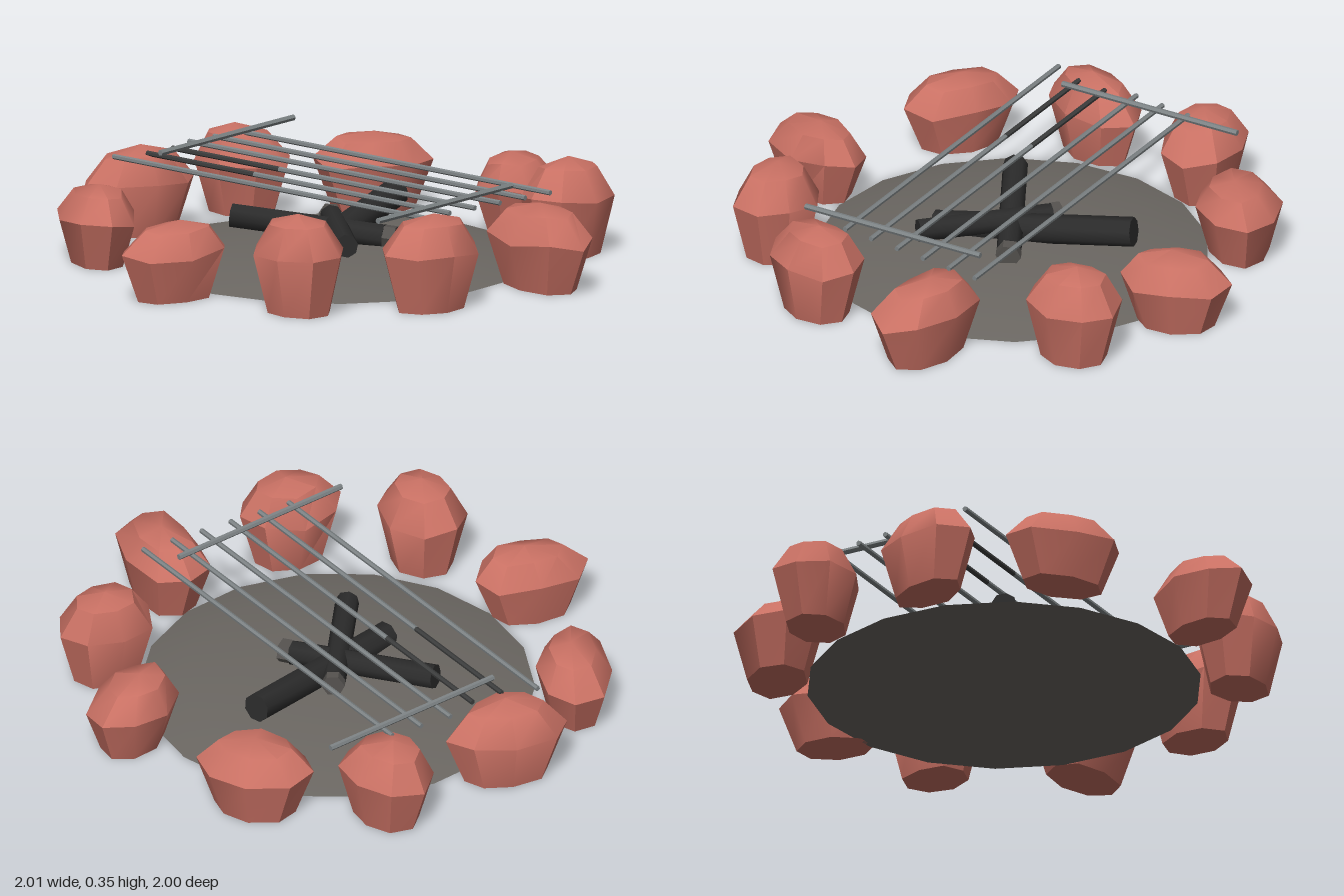
import * as THREE from 'three';
import { toCreasedNormals } from 'three/addons/utils/BufferGeometryUtils.js';

const material = (name, color, extra = {}) => {
  const m = new THREE.MeshStandardMaterial({ color, ...extra });
  m.name = name;
  return m;
};

function seeded(seed) {
  let s = seed * 7919 + 13;
  return () => (s = (s * 16807) % 2147483647) / 2147483647;
}

// Boulder: a flat base flaring to a rim, then rounding over to a blunt peak
function stoneGeometry(length, width, height, seed) {
  const random = seeded(seed);
  for (let i = 0; i < 5; i++) random();
  const sides = 8;
  const radii = Array.from({ length: sides }, () => 0.94 + random() * 0.12);
  const lift = radii.map(() => (random() - 0.5) * 0.03);
  const tilt = [(random() - 0.5) * 0.25, (random() - 0.5) * 0.25];
  const rings = [[0.69, 0, 0], [1, 0.6, 1], [0.62, 0.9, 0.5]];
  const positions = [], index = [];
  for (const [scale, y, wobble] of rings) {
    for (let j = 0; j < sides; j++) {
      const a = (j / sides) * Math.PI * 2;
      const r = scale * radii[j];
      const shift = wobble === 0.5 ? 0.6 : 0;
      positions.push(
        length * (Math.cos(a) * r + tilt[0] * shift),
        height * y + lift[j] * wobble,
        width * (Math.sin(a) * r + tilt[1] * shift));
    }
  }
  const peak = positions.length / 3;
  positions.push(length * tilt[0], height, width * tilt[1], 0, 0, 0);
  for (let j = 0; j < sides; j++) {
    const k = (j + 1) % sides;
    for (let i = 0; i < rings.length - 1; i++) {
      const a = i * sides + j, b = i * sides + k;
      index.push(a, a + sides, b, b, a + sides, b + sides);
    }
    const top = (rings.length - 1) * sides;
    index.push(top + j, peak, top + k, peak + 1, j, k);
  }
  const g = new THREE.BufferGeometry();
  g.setAttribute('position', new THREE.Float32BufferAttribute(positions, 3));
  g.setIndex(index);
  return toCreasedNormals(g, 0.7);
}

// Straight rod between two points
function rod(name, from, to, radius, sides, mat) {
  const a = new THREE.Vector3(...from), b = new THREE.Vector3(...to);
  const direction = b.clone().sub(a);
  const g = new THREE.CylinderGeometry(radius, radius, direction.length(), sides);
  const mesh = new THREE.Mesh(toCreasedNormals(g, 0.9), mat);
  mesh.name = name;
  mesh.position.copy(a).add(b).multiplyScalar(0.5);
  mesh.quaternion.setFromUnitVectors(new THREE.Vector3(0, 1, 0), direction.normalize());
  return mesh;
}

export function createModel() {
  const model = new THREE.Group();
  model.name = 'campfire';
  const stone = material('red stone', 0xc87063);
  const ash = material('ash', 0x6b6762);
  const charcoal = material('charred wood', 0x2b2b2b);
  const ember = material('ashen log end', 0x55524f);
  const metal = material('grill metal', 0x7d8385);
  const soot = material('sooty metal', 0x3c3d3d);

  // Low mound of ash
  const mound = [[0, 0], [0.7, 0], [0.55, 0.035], [0.3, 0.057], [0, 0.065]]
    .map(([x, y]) => new THREE.Vector2(x, y));
  const ashBed = new THREE.Mesh(toCreasedNormals(new THREE.LatheGeometry(mound, 18), 0.6), ash);
  ashBed.name = 'ashBed';
  ashBed.position.set(0.03, 0, -0.04);
  model.add(ashBed);

  // Ring of stones: x, z, half length, half width, heading, height
  const ring = new THREE.Group();
  ring.name = 'stoneRing';
  [
    [-0.22, -0.81, 0.215, 0.135, 0.2, 0.32],
    [0.27, -0.82, 0.185, 0.15, 1.3, 0.32],
    [0.65, -0.55, 0.21, 0.155, 0.75, 0.28],
    [0.825, 0.02, 0.2, 0.14, -0.5, 0.28],
    [0.7, 0.44, 0.18, 0.15, 0, 0.35],
    [0.29, 0.76, 0.235, 0.145, 1.6, 0.3],
    [-0.22, 0.75, 0.19, 0.145, 0.1, 0.34],
    [-0.61, 0.49, 0.175, 0.15, 1.3, 0.355],
    [-0.795, 0.03, 0.21, 0.135, 0.2, 0.28],
    [-0.63, -0.57, 0.225, 0.14, -1.09, 0.28],
  ].forEach(([x, z, length, width, heading, height], i) => {
    const mesh = new THREE.Mesh(stoneGeometry(length, width, height, i + 1), stone);
    mesh.name = `stone${i + 1}`;
    mesh.position.set(x, 0, z);
    mesh.rotation.y = -heading;
    ring.add(mesh);
  });
  model.add(ring);

  // Three charred logs crossing in the middle
  const logs = new THREE.Group();
  logs.name = 'logs';
  logs.add(
    rod('longLog', [-0.23, 0.06, 0.07], [0.45, 0.145, -0.205], 0.053, 8, charcoal),
    rod('backLog', [-0.2, 0.14, -0.34], [0.13, 0.09, 0.1], 0.045, 8, charcoal),
    rod('frontLog', [-0.17, 0.125, 0.24], [0.11, 0.12, -0.16], 0.042, 8, charcoal),
    rod('backLogTip', [0.13, 0.09, 0.1], [0.155, 0.086, 0.135], 0.045, 6, ember),
    rod('frontLogTip', [0.11, 0.12, -0.16], [0.13, 0.12, -0.189], 0.042, 6, ember));
  model.add(logs);

  // Grill: six long bars under two cross bars, two of them sooty at the back
  const grill = new THREE.Group();
  grill.name = 'grill';
  for (let i = 0; i < 6; i++) {
    const x = -0.365 + i * 0.118;
    const at = (z) => [x + (z + 0.79) * 0.138, 0.3, z];
    const sooty = i === 1 || i === 2;
    grill.add(rod(`grillBar${i + 1}`, at(sooty ? -0.25 : -0.785), at(0.655), 0.0095, 6, metal));
    if (sooty) grill.add(rod(`sootyBar${i + 1}`, at(-0.745), at(-0.25), 0.0095, 6, soot));
  }
  grill.add(
    rod('backCrossBar', [-0.25, 0.316, -0.665], [0.465, 0.316, -0.765], 0.011, 6, metal),
    rod('frontCrossBar', [-0.365, 0.316, 0.63], [0.35, 0.316, 0.53], 0.011, 6, metal));
  model.add(grill);

  return model;
}
